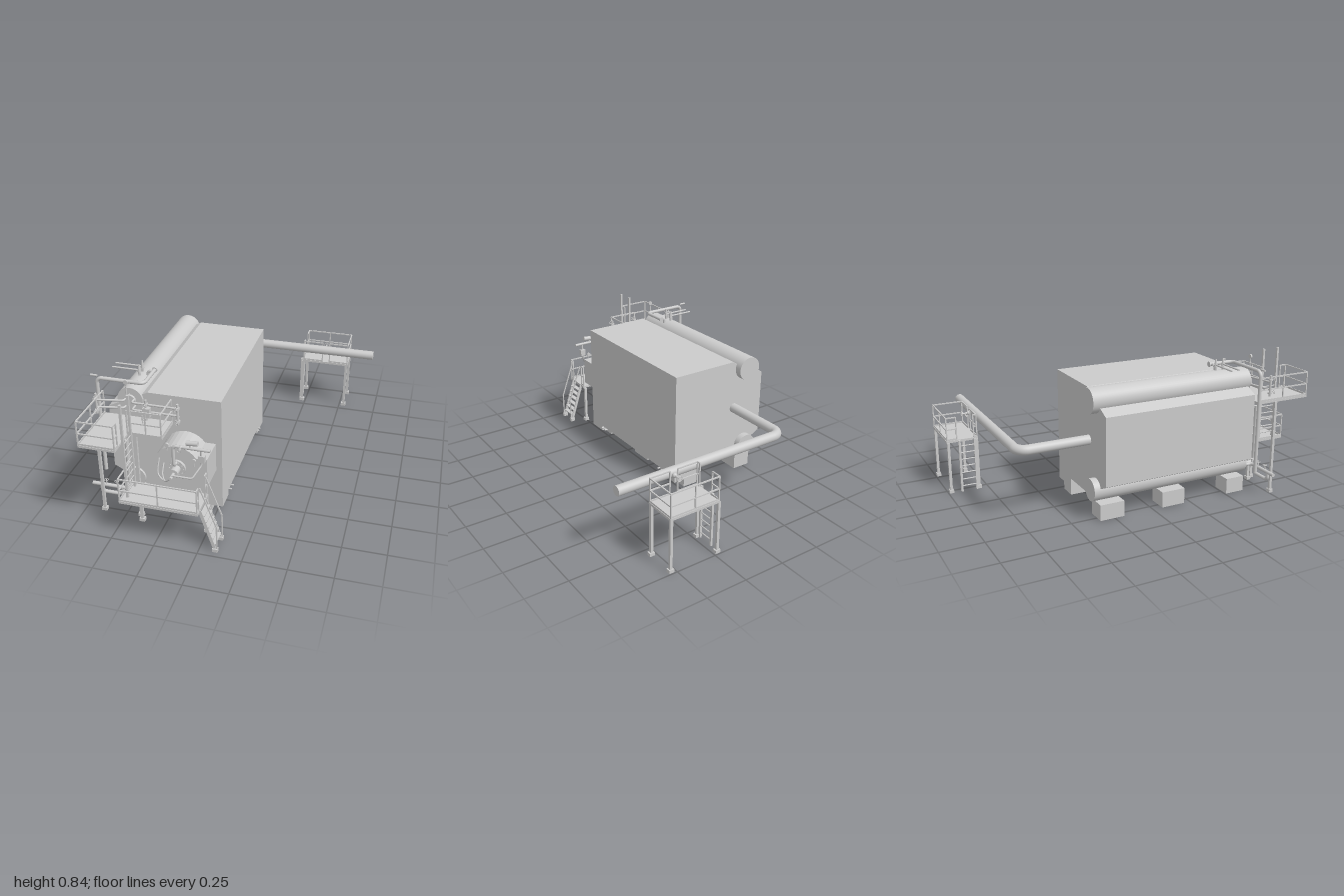
import * as THREE from 'three';

const mat = new THREE.MeshStandardMaterial({ color: 0xcccccc });
const V = (p) => new THREE.Vector3(...p);
const UP = new THREE.Vector3(0, 1, 0);

function add(parent, name, geo, pos = [0, 0, 0]) {
  const m = new THREE.Mesh(geo, mat);
  m.name = name;
  m.position.set(...pos);
  parent.add(m);
  return m;
}
function group(parent, name) {
  const g = new THREE.Group();
  g.name = name;
  parent.add(g);
  return g;
}
// box given by its limits
const block = (parent, name, x0, x1, y0, y1, z0, z1) =>
  add(parent, name, new THREE.BoxGeometry(x1 - x0, y1 - y0, z1 - z0), [(x0 + x1) / 2, (y0 + y1) / 2, (z0 + z1) / 2]);

// round rod between two points
function rod(parent, name, a, b, r, sides = 12, r2 = r) {
  const A = V(a), d = V(b).sub(A);
  const m = add(parent, name, new THREE.CylinderGeometry(r2, r, d.length(), sides));
  m.position.copy(A).addScaledVector(d, 0.5);
  m.quaternion.setFromUnitVectors(UP, d.normalize());
  return m;
}
// square steel bar between two points
function bar(parent, name, a, b, w = 0.007, t = w) {
  const A = V(a), B = V(b);
  const m = add(parent, name, new THREE.BoxGeometry(w, t, A.distanceTo(B)));
  m.position.copy(A).add(B).multiplyScalar(0.5);
  m.lookAt(B);
  return m;
}
// pipe with straight runs and rounded elbows
function pipe(parent, name, pts, r, bend = r * 2.5, sides = 14) {
  const g = group(parent, name), P = pts.map(V);
  let start = P[0];
  for (let i = 1; i < P.length; i++) {
    if (i === P.length - 1) { rod(g, 'straight', start.toArray(), P[i].toArray(), r, sides); break; }
    const inDir = P[i].clone().sub(P[i - 1]).normalize(), outDir = P[i + 1].clone().sub(P[i]).normalize();
    const a = P[i].clone().addScaledVector(inDir, -bend), b = P[i].clone().addScaledVector(outDir, bend);
    const k = bend * 0.45;
    const curve = new THREE.CubicBezierCurve3(a, P[i].clone().addScaledVector(inDir, -k), P[i].clone().addScaledVector(outDir, k), b);
    rod(g, 'straight', start.toArray(), a.toArray(), r, sides);
    add(g, 'elbow', new THREE.TubeGeometry(curve, 10, r, sides));
    start = b;
  }
  return g;
}
// posts, top rail and middle rail along a path of [x, z] points
function railing(parent, path, y, h = 0.145) {
  const g = group(parent, 'railing');
  path.forEach(([x, z], i) => {
    bar(g, 'post', [x, y, z], [x, y + h, z]);
    if (!i) return;
    const [px, pz] = path[i - 1], n = Math.max(1, Math.round(Math.hypot(x - px, z - pz) / 0.2));
    for (let k = 1; k < n; k++) {
      const qx = px + (x - px) * k / n, qz = pz + (z - pz) * k / n;
      bar(g, 'post', [qx, y, qz], [qx, y + h, qz]);
    }
    for (const f of [0.5, 1]) bar(g, 'rail', [px, y + h * f, pz], [x, y + h * f, z]);
    bar(g, 'toePlate', [px, y + 0.007, pz], [x, y + 0.007, z], 0.004, 0.014);
  });
}
function leg(parent, x, z, top) {
  block(parent, 'leg', x - 0.008, x + 0.008, 0, top, z - 0.008, z + 0.008);
  block(parent, 'legFoot', x - 0.016, x + 0.016, 0, 0.02, z - 0.013, z + 0.013);
}
// ladder facing along x
function ladder(parent, x, z0, z1, y0, y1, rungTop) {
  const g = group(parent, 'ladder');
  for (const z of [z0, z1]) bar(g, 'stringer', [x, y0, z], [x, y1, z], 0.013);
  for (let y = y0 + 0.035; y < rungTop; y += 0.043) rod(g, 'rung', [x, y, z0], [x, y, z1], 0.004, 6);
}
// small valve: body, stem and handwheel along a direction
function valve(parent, p, dir, s = 1) {
  const g = group(parent, 'valve'), end = dir.map((d, i) => p[i] + d * 0.035 * s);
  add(g, 'valveBody', new THREE.SphereGeometry(0.011 * s, 10, 8), p);
  rod(g, 'stem', p, end, 0.004 * s, 8);
  const wheel = add(g, 'handwheel', new THREE.TorusGeometry(0.012 * s, 0.002 * s, 6, 16), end);
  wheel.lookAt(end[0] + dir[0], end[1] + dir[1], end[2] + dir[2]);
}
function gauge(parent, x, y, z, r = 0.012) {
  rod(parent, 'gauge', [x, y, z], [x, y, z + 0.01], r, 16);
  rod(parent, 'gaugeStem', [x, y - 0.035, z + 0.005], [x, y, z + 0.005], 0.003, 8);
}
function extrude(parent, name, pts, z0, z1) {
  const s = new THREE.Shape(pts.map((p) => new THREE.Vector2(...p)));
  return add(parent, name, new THREE.ExtrudeGeometry(s, { depth: z1 - z0, bevelEnabled: false }), [0, 0, z0]);
}

export function createModel() {
  const root = new THREE.Group();
  root.name = 'industrialBoiler';

  // casing, drums and foundation blocks
  const boiler = group(root, 'boiler');
  extrude(boiler, 'casing', [[0.04, 0.105], [0.04, 0.745], [-0.38, 0.745], [-0.478, 0.694], [-0.615, 0.63],
    [-0.615, 0.23], [-0.487, 0.165], [-0.37, 0.105]], -0.34, 0.63);
  for (const [z0, z1, y] of [[-0.34, -0.19, 0.05], [-0.19, 0.51, 0.085], [0.51, 0.63, 0.05]])
    block(boiler, 'skirt', -0.03, 0.04, y, 0.105, z0, z1);
  rod(boiler, 'steamDrum', [-0.478, 0.694, -0.383], [-0.478, 0.694, 0.645], 0.074, 40);
  rod(boiler, 'mudDrum', [-0.487, 0.175, -0.378], [-0.487, 0.175, 0.645], 0.065, 40);
  for (const [z0, z1] of [[-0.34, -0.19], [0.06, 0.21], [0.51, 0.63]]) {
    block(boiler, 'foundation', -0.545, -0.43, 0, 0.095, z0, z1);
    block(boiler, 'foundation', -0.135, -0.03, 0, 0.105, z0, z1);
  }
  for (const z of [-0.21, -0.18, 0.45, 0.49]) rod(boiler, 'drainStub', [0.03, 0.08, z], [0.056, 0.08, z], 0.005, 8);
  rod(boiler, 'drumManway', [-0.478, 0.694, 0.64], [-0.478, 0.694, 0.66], 0.035, 24);

  // large outlet pipe at the rear
  pipe(root, 'outletPipe', [[-0.4, 0.44, -0.33], [-0.4, 0.44, -0.762], [0.715, 0.44, -0.762]], 0.029, 0.06, 28);
  valve(root, [0.38, 0.44, -0.8], [0, 0, -1], 1.3);
  rod(root, 'outletBranch', [0.38, 0.44, -0.77], [0.38, 0.44, -0.82], 0.007);

  // rear access platform
  const rear = group(root, 'rearPlatform');
  block(rear, 'deck', 0.225, 0.54, 0.318, 0.332, -0.99, -0.795);
  for (const x of [0.225, 0.53]) for (const z of [-0.98, -0.805]) leg(rear, x, z, 0.32);
  railing(rear, [[0.23, -0.925], [0.23, -0.985], [0.535, -0.985], [0.535, -0.8], [0.41, -0.8]], 0.328);
  railing(rear, [[0.36, -0.8], [0.23, -0.8], [0.23, -0.82]], 0.328);
  ladder(rear, 0.213, -0.915, -0.82, 0, 0.33, 0.32);

  // lower front platform with stairs
  const low = group(root, 'lowerPlatform');
  block(low, 'deck', -0.435, 0.01, 0.25, 0.264, 0.81, 0.995);
  for (const x of [-0.387, 0.0]) leg(low, x, 0.805, 0.25);
  railing(low, [[0.005, 0.96], [0.005, 0.99], [-0.432, 0.99], [-0.432, 0.815]], 0.26);
  railing(low, [[0.005, 0.845], [0.005, 0.815]], 0.26);
  const stairs = group(low, 'stairs');
  for (const z of [0.85, 0.955]) {
    bar(stairs, 'stringer', [0.008, 0.26, z], [0.09, 0.01, z], 0.007, 0.018);
    bar(stairs, 'handrail', [0.012, 0.405, z], [0.1, 0.165, z]);
    bar(stairs, 'railPost', [0.1, 0.165, z], [0.1, 0, z]);
    block(stairs, 'stairFoot', 0.075, 0.106, 0, 0.02, z - 0.012, z + 0.012);
  }
  for (let i = 1; i < 7; i++) {
    const x = 0.008 + 0.082 * i / 7, y = 0.26 - 0.25 * i / 7;
    block(stairs, 'tread', x - 0.012, x + 0.016, y - 0.003, y + 0.003, 0.85, 0.955);
  }

  // upper front platform, L-shaped, with ladder
  const high = group(root, 'upperPlatform');
  block(high, 'deck', -0.64, -0.43, 0.575, 0.588, 0.64, 0.995);
  block(high, 'sideDeck', -0.43, -0.235, 0.575, 0.588, 0.64, 0.82);
  for (const x of [-0.637, -0.41]) leg(high, x, 0.765, 0.58);
  railing(high, [[-0.637, 0.645], [-0.637, 0.99], [-0.433, 0.99], [-0.433, 0.95]], 0.585);
  railing(high, [[-0.43, 0.818], [-0.325, 0.818], [-0.238, 0.818], [-0.238, 0.645]], 0.585);
  ladder(high, -0.403, 0.84, 0.945, 0.26, 0.838, 0.6);

  // burner windbox: round top and left, square right side
  const burner = group(root, 'burner');
  const box = [[0.005, 0.3], [0.005, 0.475]];
  for (let i = 0; i <= 18; i++) {
    const a = 0.6 + i * (3.7 / 18);
    box.push([-0.165 + 0.132 * Math.cos(a), 0.4 + 0.132 * Math.sin(a)]);
  }
  box.push([-0.03, 0.27]);
  extrude(burner, 'windbox', box, 0.62, 0.795);
  rod(burner, 'flange', [-0.165, 0.4, 0.79], [-0.165, 0.4, 0.81], 0.05, 28);
  rod(burner, 'burnerGun', [-0.165, 0.4, 0.8], [-0.165, 0.4, 0.86], 0.025, 20);
  rod(burner, 'oilLance', [-0.165, 0.4, 0.85], [-0.165, 0.4, 0.91], 0.009);
  for (let i = 0; i < 10; i++) {
    const a = i * Math.PI / 5, x = -0.165 + 0.04 * Math.cos(a), y = 0.4 + 0.04 * Math.sin(a);
    rod(burner, 'bolt', [x, y, 0.805], [x, y, 0.817], 0.004, 6);
  }
  // fuel train
  pipe(burner, 'fuelPipe', [[-0.165, 0.44, 0.8], [-0.165, 0.44, 0.845], [-0.165, 0.57, 0.845], [0.042, 0.57, 0.845]], 0.009, 0.02);
  rod(burner, 'actuator', [-0.09, 0.6, 0.845], [-0.025, 0.605, 0.845], 0.014, 16);
  rod(burner, 'actuatorNeck', [-0.07, 0.57, 0.845], [-0.07, 0.6, 0.845], 0.006, 8);
  valve(burner, [-0.12, 0.57, 0.845], [0, 0, 1]);
  gauge(burner, -0.2, 0.57, 0.84);
  gauge(burner, -0.055, 0.485, 0.83);
  pipe(burner, 'steamLine', [[-0.165, 0.41, 0.89], [-0.05, 0.41, 0.89], [-0.01, 0.47, 0.84], [-0.01, 0.57, 0.845]], 0.005, 0.012);
  block(burner, 'controlBox', -0.025, 0.01, 0.49, 0.53, 0.825, 0.85);
  for (const [x, y] of [[-0.265, 0.45], [-0.24, 0.42]]) {
    const hose = new THREE.CatmullRomCurve3([[x, y, 0.8], [x + 0.005, 0.37, 0.84], [-0.215, 0.345, 0.86], [-0.165, 0.39, 0.88]].map(V));
    add(burner, 'hose', new THREE.TubeGeometry(hose, 24, 0.004, 8));
  }

  // feed pipe up and over the drum
  pipe(root, 'feedPipe', [[-0.683, 0.175, 0.61], [-0.683, 0.787, 0.61], [-0.405, 0.787, 0.61], [-0.405, 0.787, 0.44]], 0.011, 0.03);
  rod(root, 'feedFlange', [-0.405, 0.787, 0.44], [-0.405, 0.787, 0.446], 0.016, 16);
  pipe(root, 'feedDrop', [[-0.405, 0.787, 0.46], [-0.44, 0.787, 0.46], [-0.44, 0.74, 0.46]], 0.008);

  // safety valves on the steam drum
  for (const z of [0.44, 0.49]) {
    const g = group(root, 'safetyValve');
    rod(g, 'inlet', [-0.478, 0.76, z], [-0.478, 0.8, z], 0.007);
    rod(g, 'bonnet', [-0.478, 0.79, z], [-0.478, 0.835, z], 0.01, 12, 0.004);
    rod(g, 'outlet', [-0.478, 0.8, z], [-0.64, 0.8, z], 0.005);
  }
  rod(root, 'ventEnd', [-0.72, 0.8, 0.61], [-0.68, 0.8, 0.61], 0.006);

  // downcomer and blowdown piping
  pipe(root, 'downcomer', [[-0.467, 0.505, 0.76], [-0.467, 0.14, 0.76], [-0.467, 0.14, 0.64]], 0.012, 0.03);
  pipe(root, 'blowdownPipe', [[-0.72, 0.145, 0.72], [-0.5, 0.145, 0.72], [-0.5, 0.145, 0.64]], 0.011, 0.025);
  pipe(root, 'bypassPipe', [[-0.665, 0.145, 0.72], [-0.665, 0.097, 0.72], [-0.535, 0.097, 0.72], [-0.535, 0.145, 0.72]], 0.011, 0.022);
  for (const x of [-0.635, -0.57, -0.505]) valve(root, [x, 0.145, 0.72], [0, 1, 0]);

  // water columns and level piping in front of the drum
  const level = group(root, 'levelGear');
  for (const x of [-0.65, -0.36, -0.18]) {
    rod(level, 'waterColumn', [x, 0.62, 0.71], [x, 0.745, 0.71], 0.007);
    for (const y of [0.64, 0.72]) {
      rod(level, 'columnFlange', [x, y - 0.005, 0.71], [x, y + 0.005, 0.71], 0.013, 14);
      valve(level, [x, y, 0.71], [0, 0, 1], 0.8);
    }
  }
  for (const y of [0.66, 0.705]) {
    pipe(level, 'levelPipe', [[-0.5, y, 0.64], [-0.5, y, 0.68], [-0.65, y, 0.71]], 0.006, 0.012);
    pipe(level, 'levelPipe', [[-0.45, y, 0.64], [-0.45, y, 0.69], [-0.18, y, 0.69], [-0.18, y, 0.71]], 0.006, 0.01);
  }
  gauge(level, -0.478, 0.825, 0.68, 0.013);
  rod(level, 'gaugePipe', [-0.478, 0.73, 0.685], [-0.478, 0.8, 0.685], 0.004, 8);
  rod(level, 'gaugeBranch', [-0.478, 0.73, 0.63], [-0.478, 0.73, 0.688], 0.004, 8);
  block(level, 'levelSwitch', -0.375, -0.335, 0.645, 0.7, 0.7, 0.73);
  rod(level, 'columnDrain', [-0.39, 0.5, 0.7], [-0.39, 0.64, 0.7], 0.004, 8);

  return root;
}
